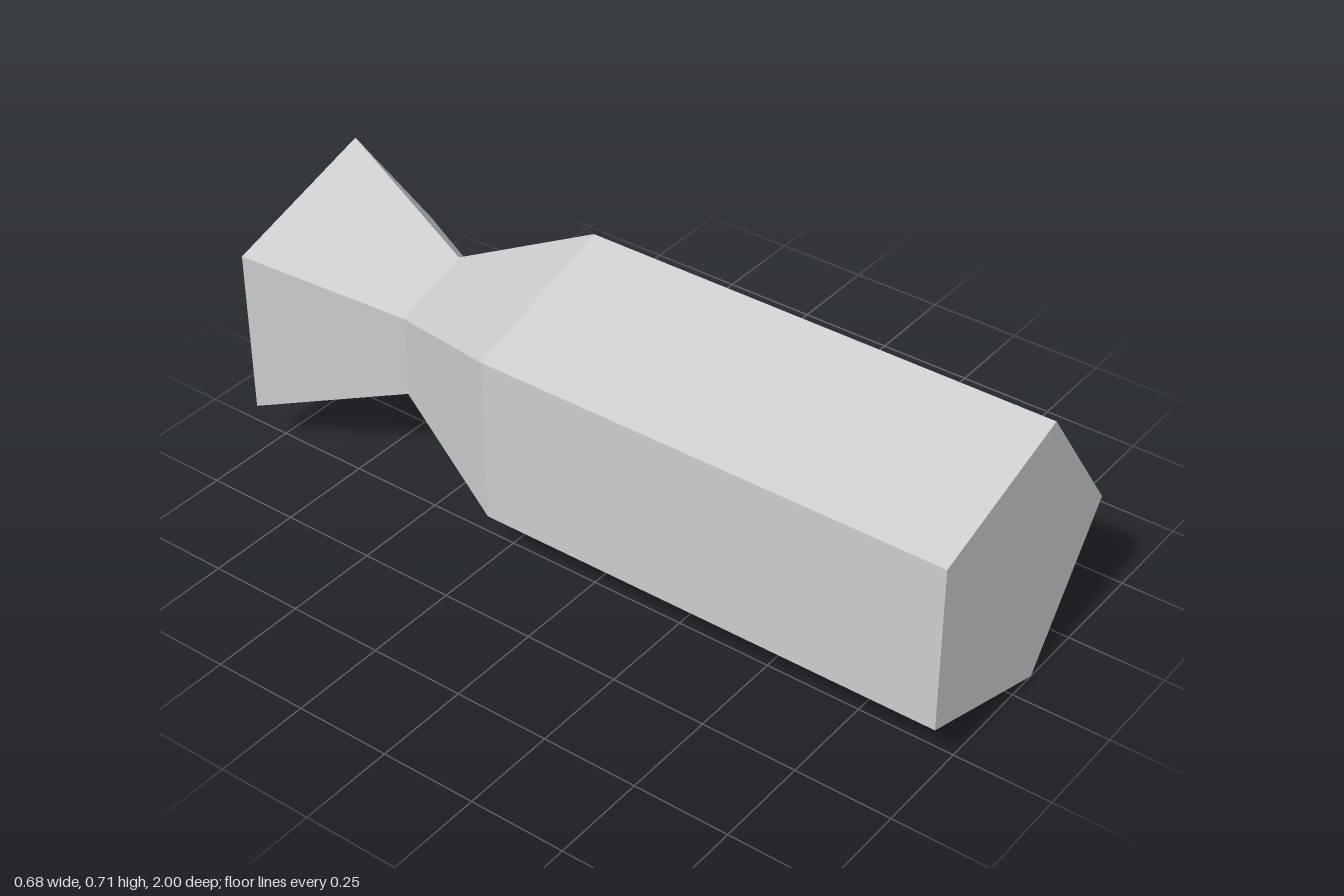
import * as THREE from 'three';

const SIDES = 5;
const WIDE = 0.375;   // circumradius of the body and the flared end
const WAIST = 0.1875; // circumradius of the pinch

export function createModel() {
  const model = new THREE.Group();
  model.name = 'pinchedPrism';

  const grey = new THREE.MeshStandardMaterial({ color: 0xcccccc, flatShading: true });
  grey.name = 'light grey';

  // Five-sided section turned about the z axis, from [radius, z] pairs ordered back to front
  function addSection(name, profile) {
    const points = profile.map(([radius, z]) => new THREE.Vector2(radius, z));
    const geometry = new THREE.LatheGeometry(points, SIDES, Math.PI / 2);
    geometry.rotateX(Math.PI / 2);
    // Centre the pentagon's bounds on x and rest its lowest corner on the ground
    geometry.translate(
      -WIDE * (1 - Math.cos(Math.PI / SIDES)) / 2,
      WIDE * Math.sin((2 * Math.PI) / SIDES),
      0
    );
    const mesh = new THREE.Mesh(geometry, grey);
    mesh.name = name;
    model.add(mesh);
  }

  // Long prism closed at the front
  addSection('body', [[WIDE, -0.25], [WIDE, 1], [0, 1]]);
  // Taper down to the waist
  addSection('neck', [[WAIST, -0.625], [WIDE, -0.25]]);
  // Flare out to the closed back
  addSection('tail', [[0, -1], [WIDE, -1], [WAIST, -0.625]]);

  return model;
}
